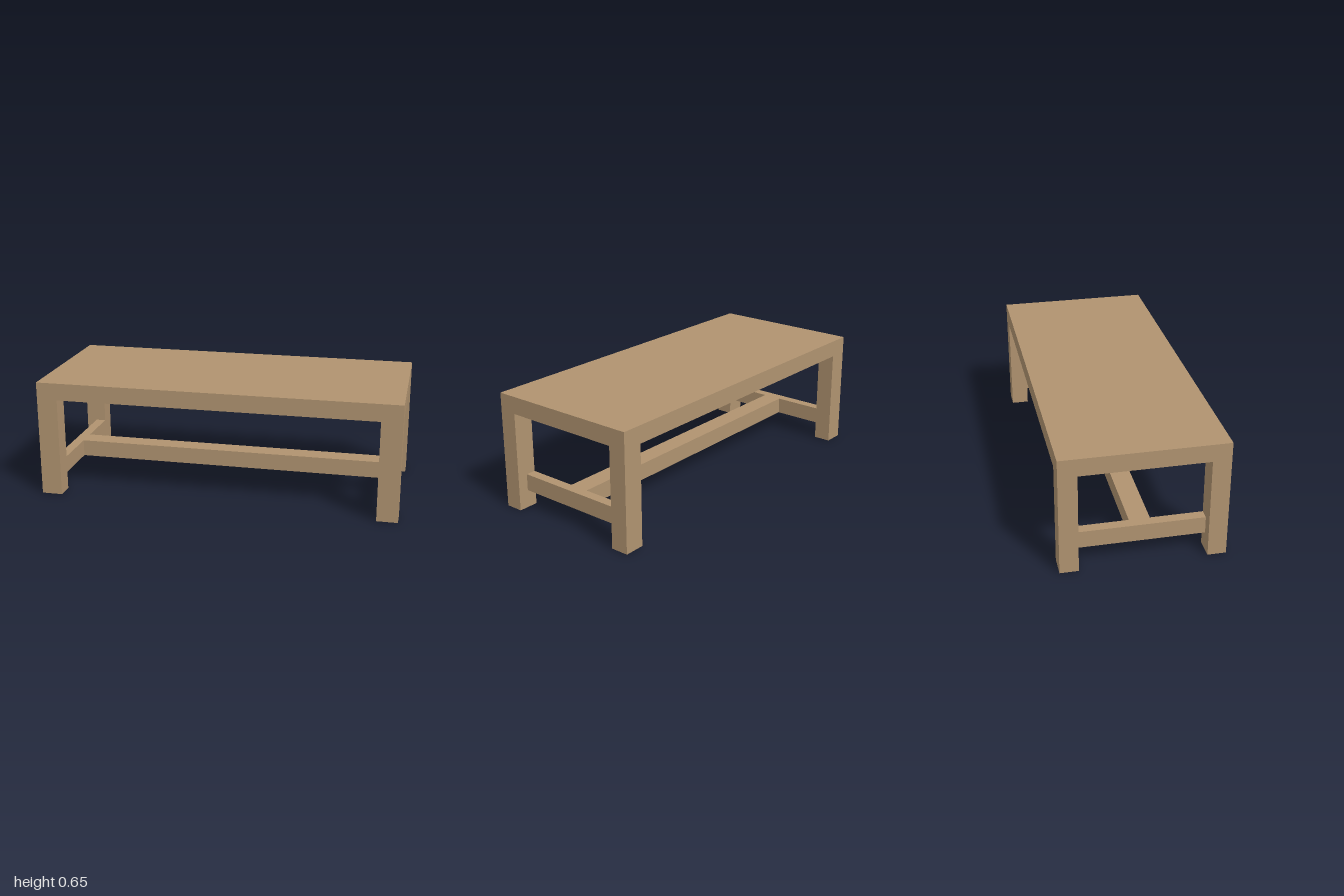
import * as THREE from 'three';

export function createModel() {
  const group = new THREE.Group();
  const wood = new THREE.MeshStandardMaterial({ color: 0xb09370 });
  wood.name = 'lightWood';

  // Box given by its minimum and maximum on each axis
  function beam(name, [x0, x1], [y0, y1], [z0, z1]) {
    const mesh = new THREE.Mesh(new THREE.BoxGeometry(x1 - x0, y1 - y0, z1 - z0), wood);
    mesh.position.set((x0 + x1) / 2, (y0 + y1) / 2, (z0 + z1) / 2);
    mesh.name = name;
    group.add(mesh);
  }
  const span = (side, a, b) => (side > 0 ? [a, b] : [-b, -a]);

  const halfX = 1, halfZ = 0.435;
  const innerX = 0.885, innerZ = 0.336;
  const underside = 0.556;
  const rail = [0.099, 0.193];

  // Thick slab top
  beam('tableTop', [-halfX, halfX], [underside, 0.652], [-halfZ, halfZ]);

  for (const sx of [1, -1]) {
    const end = sx > 0 ? 'Left' : 'Right';
    // Corner legs, flush with the top
    for (const sz of [1, -1]) {
      beam((sz > 0 ? 'front' : 'back') + end + 'Leg',
        span(sx, innerX, halfX), [0, underside], span(sz, innerZ, halfZ));
    }
    // End stretcher, flush with the inner faces of the legs
    beam('end' + end + 'Stretcher', span(sx, innerX, 0.941), rail, [-innerZ, innerZ]);
  }

  // Long stretcher joining the two ends
  beam('longStretcher', [-innerX, innerX], rail, [-0.055, 0.055]);

  return group;
}
